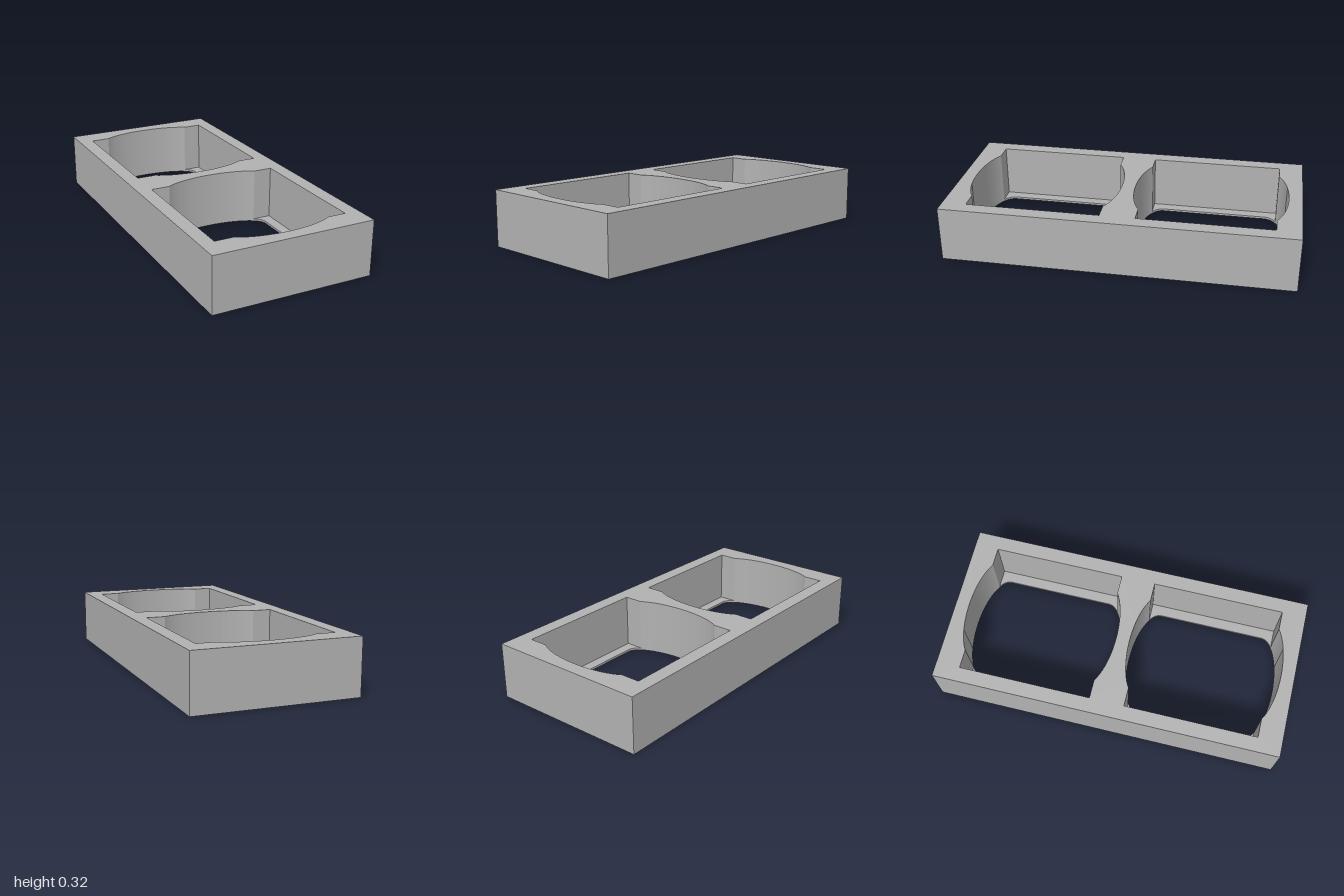
import * as THREE from 'three';
import { mergeGeometries } from 'three/addons/utils/BufferGeometryUtils.js';

const W = 0.467, L = 1, H = 0.32;          // outer half width, half length, height
const LIP = 0.013;                         // thickness of the bottom lip
const CZ = 0.481;                          // distance of each bay from the middle
const RX = 0.384, RZ = 0.381;              // half size of the rectangular pocket
const A = 0.322, B = 0.126, S = 0.316;     // end curve: radii and start of the straight side
const T0 = Math.asin((RZ - S) / B);        // angle where the curve leaves the pocket

const vec = (x, y) => new THREE.Vector2(x, y);
const turned = (pts) => pts.map((p) => vec(-p.x, -p.y));
const moved = (pts, dy) => pts.map((p) => vec(p.x, p.y + dy));

// Points along the elliptical end curve
function arc(t0, t1, n) {
  return Array.from({ length: n + 1 }, (_, i) => {
    const t = t0 + (t1 - t0) * i / n;
    return vec(A * Math.cos(t), S + B * Math.sin(t));
  });
}

// Horizontal face, facing up or down
function plate(outline, holes, y, up) {
  const shape = new THREE.Shape(outline);
  shape.holes = holes.map((h) => new THREE.Path(h));
  return new THREE.ShapeGeometry(shape).rotateX(up ? -Math.PI / 2 : Math.PI / 2).translate(0, y, 0);
}

// Vertical faces along a closed outline
function wall(pts, y0, y1) {
  const v = [];
  pts.forEach((p, i) => {
    const q = pts[(i + 1) % pts.length];
    v.push(p.x, y0, -p.y, q.x, y0, -q.y, q.x, y1, -q.y);
    v.push(p.x, y0, -p.y, q.x, y1, -q.y, p.x, y1, -p.y);
  });
  const g = new THREE.BufferGeometry();
  g.setAttribute('position', new THREE.Float32BufferAttribute(v, 3));
  g.computeVertexNormals();
  return g;
}

export function createModel() {
  const group = new THREE.Group();
  const grey = new THREE.MeshStandardMaterial({ color: 0xb2b2b2 });
  grey.name = 'grey';
  const add = (name, geometry) => {
    const mesh = new THREE.Mesh(geometry, grey);
    mesh.name = name;
    group.add(mesh);
  };

  // Plan outlines, counter-clockwise
  const outer = [vec(-W, -L), vec(W, -L), vec(W, L), vec(-W, L)];
  const corner = arc(0, T0, 4), bulge = arc(T0, Math.PI - T0, 20);
  const halfOpening = [...corner, ...bulge.slice(1), ...arc(Math.PI - T0, Math.PI, 4).slice(1)];
  const opening = [...halfOpening, ...turned(halfOpening)];
  const halfPocket = [vec(RX, RZ), ...bulge, vec(-RX, RZ)];
  const pocket = [...halfPocket, ...turned(halfPocket)];
  const ledge = [vec(RX, -RZ), vec(RX, RZ), ...[...corner].reverse(), ...corner.map((p) => vec(p.x, -p.y))];

  const bays = [-CZ, CZ];
  const at = (pts) => bays.map((z) => moved(pts, z));

  add('outerWalls', wall(outer, 0, H));
  add('topRim', plate(outer, at(pocket), H, true));
  add('underside', plate(outer, at(opening), 0, false));

  // Each bay: tall pocket walls, thin lip edge and the two side ledges
  bays.forEach((z, i) => {
    const side = i ? 'back' : 'front';
    add(side + 'PocketWalls', wall(moved(pocket, z).reverse(), LIP, H));
    add(side + 'LipEdge', wall(moved(opening, z).reverse(), 0, LIP));
    add(side + 'Ledges', mergeGeometries([ledge, turned(ledge)].map((l) => plate(moved(l, z), [], LIP, true))));
  });
  return group;
}
